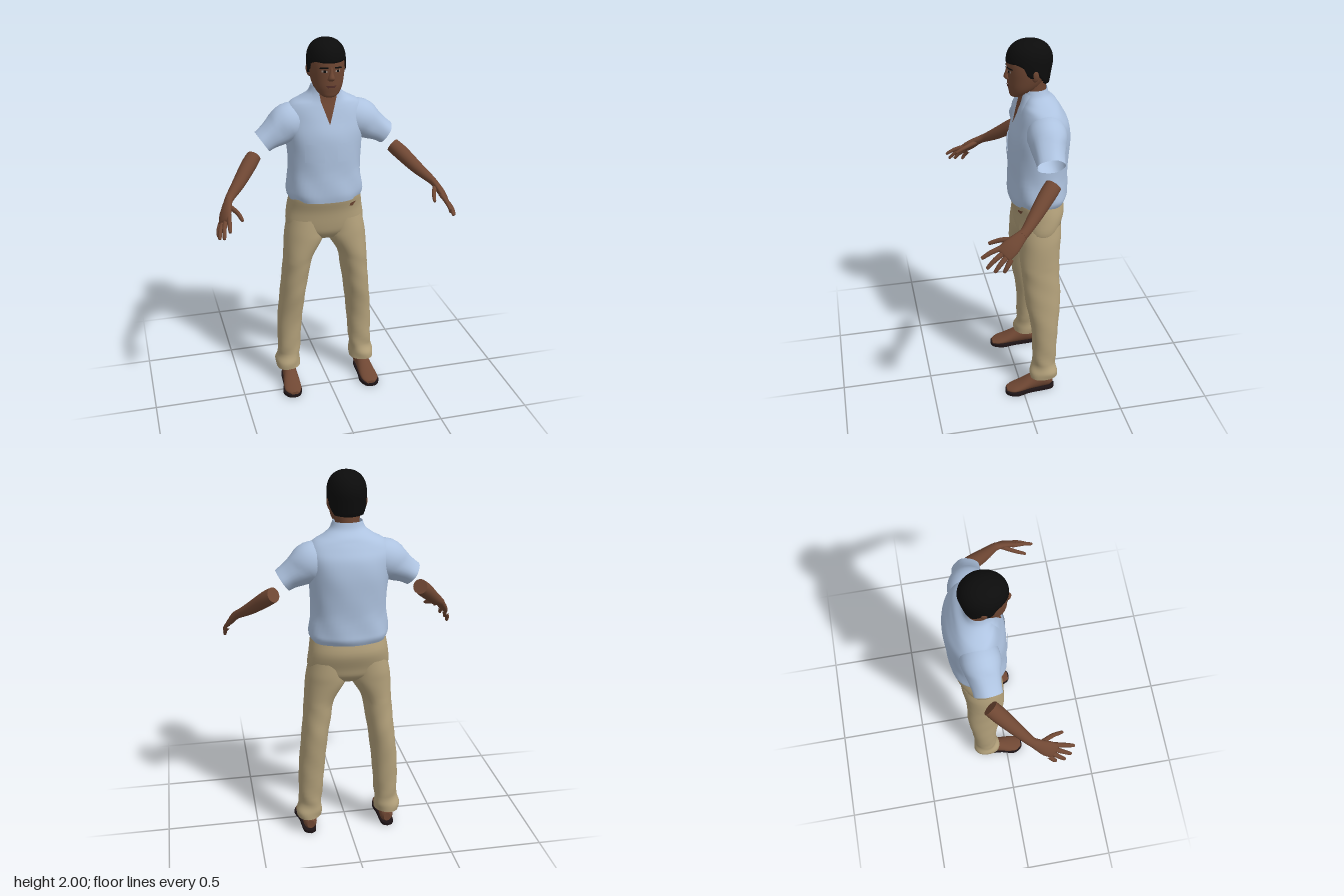
import * as THREE from 'three';

const mat = (name, color, side = THREE.FrontSide) => {
  const m = new THREE.MeshStandardMaterial({ color, side });
  m.name = name;
  return m;
};

// Catmull-Rom resampling of rows of numbers
function smooth(rows, k = 4) {
  const out = [];
  const at = i => rows[Math.max(0, Math.min(rows.length - 1, i))];
  for (let i = 0; i < rows.length - 1; i++) {
    for (let s = 0; s < k; s++) {
      const t = s / k, [a, b, c, d] = [at(i - 1), at(i), at(i + 1), at(i + 2)];
      out.push(b.map((_, j) => 0.5 * (2 * b[j] + (c[j] - a[j]) * t +
        (2 * a[j] - 5 * b[j] + 4 * c[j] - d[j]) * t * t + (3 * b[j] - a[j] - 3 * c[j] + d[j]) * t ** 3)));
    }
  }
  out.push(rows[rows.length - 1]);
  return out;
}

// Skin over cross-sections [x, y, z, ru, rv]; axis 'y' or 'z' keeps rings flat, a vector turns them along the path
function loft(rows, { axis = 'y', n = 28, p = 2, k = 4, caps = '', ripple = () => 0 } = {}) {
  const R = smooth(rows, k), pos = [], idx = [];
  const C = R.map(r => new THREE.Vector3(r[0], r[1], r[2]));
  const sgn = v => Math.sign(v) * Math.abs(v) ** (2 / p);
  R.forEach((r, i) => {
    let u = new THREE.Vector3(1, 0, 0), v = new THREE.Vector3(0, 0, -1);
    if (axis === 'z') v.set(0, 1, 0);
    else if (axis !== 'y') {
      const t = C[Math.min(i + 1, C.length - 1)].clone().sub(C[Math.max(i - 1, 0)]).normalize();
      u = new THREE.Vector3(...axis).addScaledVector(t, -t.dot(new THREE.Vector3(...axis))).normalize();
      v = t.clone().cross(u);
    }
    for (let j = 0; j < n; j++) {
      const a = j / n * Math.PI * 2, m = 1 + ripple(a, r[1]);
      const q = C[i].clone().addScaledVector(u, sgn(Math.cos(a)) * r[3] * m).addScaledVector(v, sgn(Math.sin(a)) * r[4] * m);
      pos.push(q.x, q.y, q.z);
      if (i) {
        const A = (i - 1) * n, B = i * n, j2 = (j + 1) % n;
        idx.push(A + j, A + j2, B + j2, A + j, B + j2, B + j);
      }
    }
  });
  const cap = (ring, flip) => {
    const s = pos.length / 3;
    pos.push(...pos.slice(ring * n * 3, (ring + 1) * n * 3), ...C[ring].toArray());
    for (let j = 0; j < n; j++) {
      const a = s + j, b = s + (j + 1) % n;
      idx.push(s + n, flip ? b : a, flip ? a : b);
    }
  };
  if (caps.includes('a')) cap(0, true);
  if (caps.includes('b')) cap(R.length - 1, false);
  return build(pos, idx);
}

function build(pos, idx) {
  const g = new THREE.BufferGeometry();
  g.setAttribute('position', new THREE.Float32BufferAttribute(pos, 3));
  g.setIndex(idx);
  g.computeVertexNormals();
  return g;
}

function mirrored(g) {
  const m = g.clone().scale(-1, 1, 1);
  const a = m.index ? Array.from(m.index.array) : [...Array(m.attributes.position.count).keys()];
  for (let i = 0; i < a.length; i += 3) [a[i + 1], a[i + 2]] = [a[i + 2], a[i + 1]];
  m.setIndex(a);
  return m;
}

// Front depth of an upright loft at (x, y)
const frontOf = (rows, p) => {
  const R = smooth(rows, 4);
  return (x, y) => {
    let i = 0;
    while (i < R.length - 2 && R[i + 1][1] < y) i++;
    const t = THREE.MathUtils.clamp((y - R[i][1]) / (R[i + 1][1] - R[i][1]), 0, 1);
    const [cz, rx, rz] = [2, 3, 4].map(j => R[i][j] + (R[i + 1][j] - R[i][j]) * t);
    return cz + rz * Math.max(0, 1 - Math.abs(x / rx) ** p) ** (1 / p);
  };
};

// Thin plate laid on a front surface; corners run counter-clockwise from bottom left
function patch(front, [a, b, c, d], lift, n = 8) {
  const pos = [], idx = [], mix = THREE.MathUtils.lerp;
  for (let i = 0; i <= n; i++) for (let j = 0; j <= n; j++) {
    const [x, y] = [0, 1].map(q => mix(mix(a[q], b[q], j / n), mix(d[q], c[q], j / n), i / n));
    pos.push(x, y, front(x, y) + lift);
    if (i && j) {
      const e = i * (n + 1) + j, f = e - n - 1;
      idx.push(f - 1, f, e, f - 1, e, e - 1);
    }
  }
  return build(pos, idx);
}

const rect = (x0, y0, x1, y1) => [[x0, y0], [x1, y0], [x1, y1], [x0, y1]];

export function createModel() {
  const model = new THREE.Group();
  const skin = mat('skin', 0x6f4733), hairMat = mat('hair', 0x0c0c0c, THREE.DoubleSide);
  const shirt = mat('shirt cloth', 0xaec3e0, THREE.DoubleSide), cloth = mat('trouser cloth', 0xb2a07a, THREE.DoubleSide);
  const soleMat = mat('sole', 0x1e1416), lipMat = mat('lips', 0x55302a), eyeMat = mat('eye white', 0x9a8a80);
  const add = (name, g, m) => {
    const mesh = new THREE.Mesh(g, m);
    mesh.name = name;
    model.add(mesh);
  };
  const pair = (name, g, m) => {
    add(name + 'Left', g, m);
    add(name + 'Right', mirrored(g), m);
  };

  // Shirt body, sleeves, pockets, collar and open neck
  const torso = [[1.14, -.115, .195, .145], [1.17, -.12, .207, .154], [1.21, -.12, .206, .154], [1.3, -.122, .195, .152],
    [1.4, -.125, .198, .155], [1.5, -.13, .208, .153], [1.58, -.135, .213, .136], [1.63, -.13, .205, .116],
    [1.665, -.125, .178, .1], [1.69, -.12, .13, .088], [1.72, -.105, .09, .071], [1.755, -.1, .075, .065]].map(r => [0, ...r]);
  const chest = frontOf(torso, 2.2);
  add('shirtBody', loft(torso, { n: 48, p: 2.2, ripple: (a, y) =>
    (y < 1.3 ? .014 : .006) * Math.sin(7 * a + y * 25) * (y < 1.66 ? 1 : 0) }), shirt);
  pair('sleeve', loft([[.12, 1.57, -.13, .09, .09], [.19, 1.555, -.125, .1, .104], [.255, 1.515, -.118, .084, .084],
    [.3, 1.488, -.114, .074, .068], [.335, 1.465, -.112, .071, .062]],
  { axis: [0, 0, 1], ripple: (a, y) => y < 1.53 ? .025 * Math.sin(5 * a + y * 20) : 0 }), shirt);
  pair('pocket', patch(chest, rect(.035, 1.37, .132, 1.468), .006), shirt);
  pair('collar', patch(chest, [[.035, 1.64], [.088, 1.645], [.078, 1.735], [.05, 1.755]], .012), shirt);
  add('openNeck', patch(chest, [[-.002, 1.57], [.002, 1.57], [.062, 1.75], [-.062, 1.75]], .005), skin);

  // Trousers
  const hips = [[.91, -.11, .12, .07], [.95, -.115, .19, .103], [1, -.117, .216, .116], [1.08, -.125, .208, .134],
    [1.15, -.11, .197, .138], [1.18, -.112, .19, .13]].map(r => [0, ...r]);
  add('trouserHips', loft(hips, { n: 40, p: 2.2, caps: 'a' }), cloth);
  pair('trouserLeg', loft([[.222, .095, -.12, .068, .077], [.222, .13, -.122, .071, .077], [.215, .17, -.124, .063, .066],
    [.212, .22, -.125, .064, .066], [.203, .4, -.128, .07, .073], [.184, .58, -.12, .071, .096], [.168, .7, -.113, .075, .1],
    [.154, .8, -.107, .081, .105], [.122, .9, -.111, .107, .111], [.115, .96, -.115, .106, .113], [.105, 1.03, -.118, .1, .11]],
  { n: 32, k: 6, p: 2.1, ripple: (a, y) => (y < .25 ? .04 : y < .8 ? .012 : 0) * Math.sin(3 * a + y * 45) }), cloth);
  add('waistGap', patch(frontOf(hips, 2.2), [[.11, 1.105], [.13, 1.1], [.15, 1.125], [.115, 1.12]], .004), skin);

  // Feet and soles
  pair('foot', loft([[.218, .05, -.172, .02, .025], [.218, .055, -.15, .036, .042], [.22, .065, -.1, .038, .058],
    [.222, .052, -.045, .042, .045], [.226, .036, .015, .048, .027], [.228, .028, .06, .045, .016], [.224, .023, .092, .024, .009]],
  { axis: 'z', caps: 'ab' }), skin);
  pair('ankle', loft([[.22, .06, -.12, .038, .045], [.22, .12, -.12, .04, .045], [.212, .22, -.124, .042, .046]]), skin);
  const outline = new THREE.Shape(new THREE.SplineCurve([[.218, -.186], [.252, -.165], [.26, -.1], [.266, -.03], [.283, .04],
    [.262, .088], [.228, .1], [.193, .085], [.174, .03], [.182, -.04], [.184, -.1], [.19, -.165], [.218, -.186]]
    .map(q => new THREE.Vector2(...q))).getPoints(48));
  pair('sole', new THREE.ExtrudeGeometry(outline, { depth: .016, bevelEnabled: false })
    .rotateX(Math.PI / 2).translate(0, .016, 0), soleMat);

  // Forearms, hands and fingers
  const across = [.6, -.7, -.35];
  pair('forearm', loft([[.382, 1.388, -.112, .042, .038], [.42, 1.353, -.07, .042, .04], [.485, 1.288, .002, .034, .033],
    [.535, 1.245, .055, .026, .024], [.552, 1.23, .08, .026, .021]], { axis: across, n: 20, caps: 'ab' }), skin);
  pair('palm', loft([[.546, 1.237, .068, .024, .02], [.564, 1.213, .105, .034, .019], [.578, 1.187, .14, .043, .019],
    [.589, 1.162, .174, .042, .013], [.591, 1.157, .18, .034, .006]], { axis: across, n: 20, caps: 'ab' }), skin);
  const fingers = {
    thumb: [[.553, 1.212, .11], [.522, 1.2, .175], [.506, 1.178, .234]],
    indexFinger: [[.564, 1.188, .165], [.572, 1.17, .23], [.577, 1.143, .282]],
    middleFinger: [[.579, 1.17, .165], [.597, 1.14, .22], [.605, 1.1, .262]],
    ringFinger: [[.594, 1.152, .16], [.615, 1.122, .198], [.624, 1.087, .228]],
    littleFinger: [[.605, 1.138, .145], [.62, 1.11, .165], [.623, 1.08, .182]],
  };
  for (const [name, [a, b, c]] of Object.entries(fingers)) {
    const near = c.map((v, i) => v * .9 + b[i] * .1);
    pair(name, loft([[...a, .014, .013], [...b, .012, .011], [...near, .009, .008], [...c, .003, .003]],
      { axis: across, n: 10, k: 3, caps: 'b' }), skin);
  }

  // Neck, head, nose and ears
  add('neck', loft([[0, 1.6, -.11, .065, .065], [0, 1.7, -.095, .06, .066], [0, 1.76, -.09, .062, .07], [0, 1.83, -.085, .07, .075]]), skin);
  const head = [[1.712, .0, .018, .012], [1.72, -.008, .04, .031], [1.74, -.025, .06, .053], [1.77, -.045, .076, .079],
    [1.81, -.06, .086, .096], [1.85, -.065, .091, .103], [1.89, -.07, .092, .109], [1.93, -.072, .088, .104],
    [1.97, -.075, .062, .075], [1.985, -.075, .03, .04]].map(r => [0, ...r]);
  add('head', loft(head, { n: 36, p: 2.1, caps: 'ab' }), skin);
  const face = frontOf(head, 2.1);
  add('nose', loft([[0, 1.8, .03, .008, .006], [0, 1.808, .033, .019, .016], [0, 1.82, .035, .017, .02],
    [0, 1.845, .034, .01, .012], [0, 1.875, .033, .008, .006]], { n: 16, caps: 'ab' }), skin);
  pair('ear', new THREE.SphereGeometry(1, 14, 10).scale(.009, .03, .018).rotateZ(-.15).translate(.093, 1.838, -.085), skin);

  // Eyes, brows and mouth
  pair('eye', patch(face, rect(.02, 1.847, .048, 1.857), .002, 4), eyeMat);
  pair('pupil', patch(face, rect(.029, 1.847, .039, 1.858), .004, 3), hairMat);
  pair('brow', patch(face, [[.016, 1.866], [.058, 1.864], [.056, 1.871], [.018, 1.875]], .003, 5), hairMat);
  add('mouth', patch(face, [[-.018, 1.767], [.018, 1.767], [.027, 1.778], [-.027, 1.778]], .003, 6), lipMat);

  // Hair cap: hairline drops from the fringe to sideburns and nape
  const hairline = [[-1, 1.785], [-.6, 1.79], [-.35, 1.825], [-.1, 1.858], [.0, 1.83], [.22, 1.835], [.4, 1.885], [.7, 1.898], [1, 1.893]];
  const edgeY = c => {
    const i = Math.max(1, hairline.findIndex(h => h[0] >= c - 1e-6));
    const [a, b] = [hairline[i - 1], hairline[i]];
    return a[1] + (b[1] - a[1]) * (c - a[0]) / (b[0] - a[0]);
  };
  const cap = new THREE.SphereGeometry(1, 48, 18), P = cap.attributes.position, uv = cap.attributes.uv;
  for (let i = 0; i < P.count; i++) {
    const a = uv.getX(i) * Math.PI * 2, row = Math.round((1 - uv.getY(i)) * 18) / 17;
    const c = Math.cos(a), t = Math.min(row, 1), low = edgeY(c);
    const y = low + (2 - low) * Math.cos(t * Math.PI / 2);
    let s = y > 1.89 ? (1 - Math.min(1, (y - 1.89) / .11) ** 2.3) ** (1 / 2.3) : 1 - 1.6 * (1.89 - y) ** 1.0 * (c < 0 ? -c : 0) * .9;
    if (row > 1) s *= .86;
    P.setXYZ(i, Math.sin(a) * .1 * s, y, -.075 + c * .118 * s);
  }
  cap.computeVertexNormals();
  add('hair', cap, hairMat);

  return model;
}
